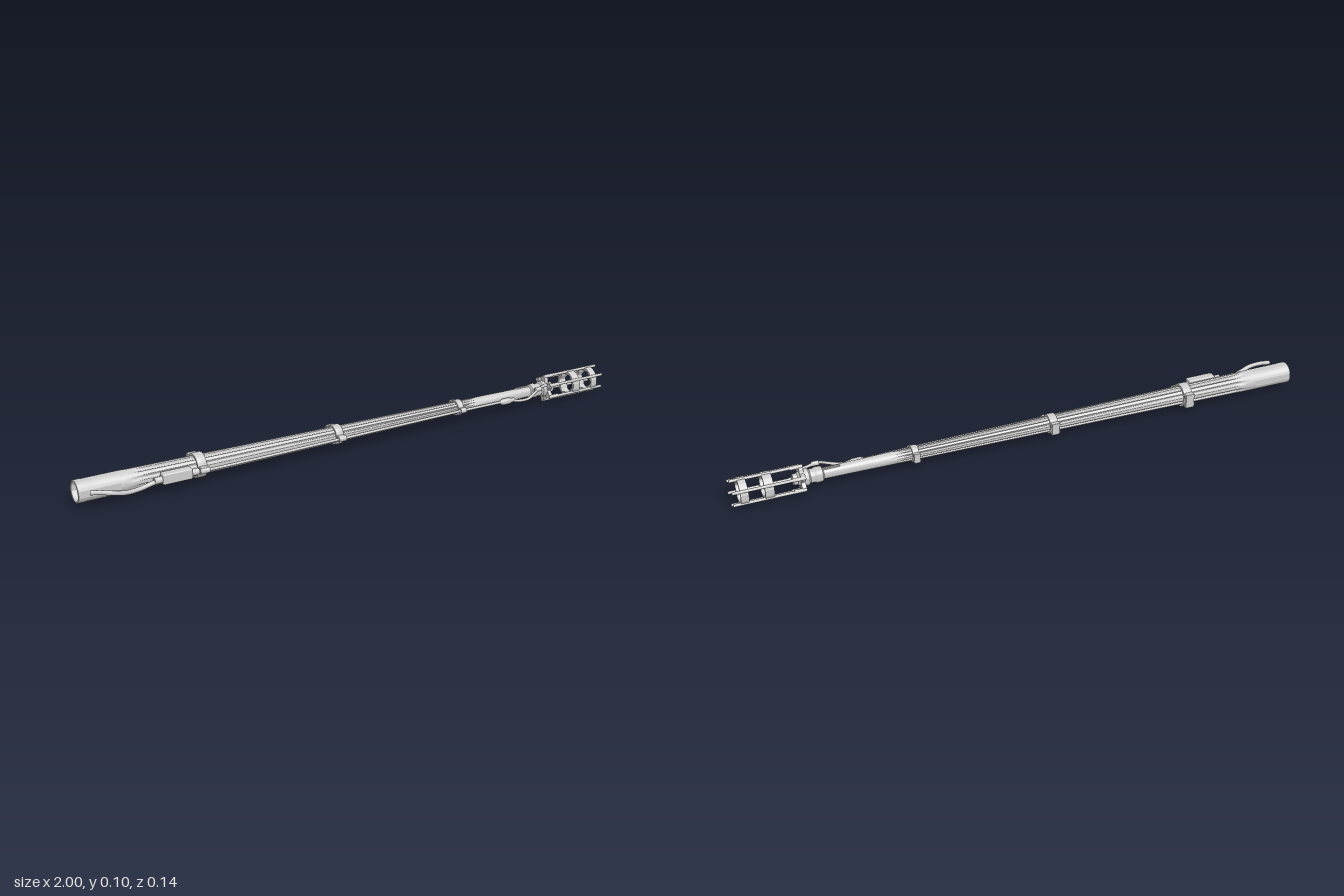
import * as THREE from 'three';
import { toCreasedNormals } from 'three/addons/utils/BufferGeometryUtils.js';
import { RoundedBoxGeometry } from 'three/addons/geometries/RoundedBoxGeometry.js';

const AY = 0.052, AZ = -0.018; // barrel axis
const mat = new THREE.MeshStandardMaterial({ color: 0xcccccc, side: THREE.DoubleSide });

function add(parent, name, geo, x = 0, y = 0, z = 0) {
  const m = new THREE.Mesh(geo, mat);
  m.name = name;
  m.position.set(x, y, z);
  parent.add(m);
  return m;
}

// Turned part along x from [x, radius] pairs
function turned(pts, segs = 32) {
  const g = new THREE.LatheGeometry(pts.map(([x, r]) => new THREE.Vector2(r, x)), segs);
  g.rotateZ(-Math.PI / 2);
  return toCreasedNormals(g, 0.6);
}

// Flat shape extruded along x, centred on x = 0
function plate(shape, depth) {
  const g = new THREE.ExtrudeGeometry(shape, { depth, bevelEnabled: false, curveSegments: 24 });
  g.translate(0, 0, -depth / 2);
  g.rotateY(Math.PI / 2);
  return toCreasedNormals(g, 0.6);
}

const rod = (r, len, n = 12) => new THREE.CylinderGeometry(r, r, len, n).rotateZ(-Math.PI / 2);

// Outline whose radius follows a rule of the angle
function polar(rule, n, Type) {
  const pts = [];
  for (let i = 0; i < n; i++) {
    const a = (i / n) * Math.PI * 2, r = rule(a);
    pts.push(new THREE.Vector2(Math.cos(a) * r, Math.sin(a) * r));
  }
  return new Type(pts);
}

const barrelRadius = x => THREE.MathUtils.lerp(0.036, 0.019, (x + 0.84) / 1.5);

// Tapered barrel with eight rounded flutes
function flutedBarrel() {
  const pts = [];
  for (let i = 0; i <= 80; i++) {
    const x = -0.86 + (i / 80) * 1.4;
    pts.push(new THREE.Vector2(barrelRadius(x), x));
  }
  const g = new THREE.LatheGeometry(pts, 128);
  const p = g.attributes.position, S = THREE.MathUtils.smoothstep;
  for (let i = 0; i < p.count; i++) {
    const x = p.getY(i), a = Math.atan2(p.getZ(i), p.getX(i));
    const ramp = S(x, -0.84, -0.76) * (1 - S(x, 0.42, 0.48));
    const groove = Math.pow(Math.max(0, -Math.cos(a * 8)), 0.6);
    const k = 1 - 0.22 * ramp * groove;
    p.setXYZ(i, p.getX(i) * k, x, p.getZ(i) * k);
  }
  g.rotateZ(-Math.PI / 2);
  g.computeVertexNormals();
  return g;
}

// Band round the barrel with a flat lug behind and a cable holder in front
function clamp(x, r, cableZ, w) {
  const c = new THREE.Group();
  c.name = 'clamp';
  c.position.x = x;
  add(c, 'clampBand', turned([[-w, r - 0.008], [-w, r - 0.001], [-w + 0.003, r],
    [w - 0.003, r], [w, r - 0.001], [w, r - 0.008], [-w, r - 0.008]], 40));
  add(c, 'clampLug', new RoundedBoxGeometry(w * 2, r * 1.25, r * 0.45, 2, 0.002), 0, 0, -r * 1.06);
  for (const s of [-1, 1]) add(c, 'clampBolt', rod(r * 0.12, w * 2.4), 0, s * r * 0.4, -r * 1.12);
  const zc = cableZ - AZ;
  add(c, 'cableArm', new RoundedBoxGeometry(w * 1.6, r * 0.5, zc - r + 0.012, 2, 0.002), 0, 0, (zc + r) / 2 - 0.003);
  add(c, 'cableEye', rod(0.0095, w * 2, 16), 0, 0, zc);
  return c;
}

// Six-rod open cage on the end of the barrel
function muzzleCage() {
  const c = new THREE.Group();
  c.name = 'muzzleCage';
  add(c, 'collar', turned([[0.7, 0.018], [0.705, 0.025], [0.725, 0.026], [0.73, 0.023],
    [0.745, 0.023], [0.75, 0.028], [0.775, 0.028], [0.785, 0.019], [0.8, 0.018], [0.8, 0.001]]));
  // Scalloped back plate with six arms
  const star = polar(a => 0.037 + 0.009 * Math.cos(6 * (a - Math.PI / 6)), 96, THREE.Shape);
  add(c, 'backPlate', plate(star, 0.014), 0.772);
  // Rings with lobed openings
  for (const [x, w] of [[0.883, 0.03], [0.962, 0.026]]) {
    const ring = polar(() => 0.046, 72, THREE.Shape);
    ring.holes.push(polar(a => 0.036 - 0.0035 * Math.cos(6 * (a - Math.PI / 6)), 72, THREE.Path));
    add(c, 'cageRing', plate(ring, w), x);
  }
  for (let i = 0; i < 6; i++) {
    const arm = new THREE.Group();
    arm.name = 'cageArm';
    arm.rotation.x = i * Math.PI / 3;
    add(arm, 'cageRod', rod(0.005, 0.235), 0.8825, 0.0445);
    add(arm, 'rodSleeve', rod(0.0065, 0.04), 0.785, 0.0435);
    add(arm, 'rodTip', rod(0.0038, 0.02), 0.99, 0.0445);
    c.add(arm);
  }
  return c;
}

const tube = (pts, r, n) => new THREE.TubeGeometry(
  new THREE.CatmullRomCurve3(pts.map(p => new THREE.Vector3(...p))), n, r, 10);

export function createModel() {
  const model = new THREE.Group();
  model.name = 'barrelAssembly';

  const axis = new THREE.Group();
  axis.name = 'barrel';
  axis.position.set(0, AY, AZ);
  model.add(axis);

  // Hollow rear socket, fluted middle, plain front
  add(axis, 'rearSocket', turned([[-0.9, 0.001], [-0.9, 0.031], [-0.998, 0.032], [-1, 0.034],
    [-0.998, 0.037], [-0.975, 0.037], [-0.97, 0.0363], [-0.86, barrelRadius(-0.86)]], 48));
  add(axis, 'flutedBarrel', flutedBarrel());
  add(axis, 'frontBarrel', turned([[0.53, barrelRadius(0.54)], [0.7, 0.0185], [0.76, 0.018]], 40));
  add(axis, 'key', new RoundedBoxGeometry(0.06, 0.006, 0.008, 2, 0.002), 0.675, 0.019, -0.004);

  axis.add(clamp(-0.59, 0.041, 0.035, 0.016));
  axis.add(clamp(-0.09, 0.034, 0.027, 0.014));
  axis.add(clamp(0.395, 0.028, 0.018, 0.011));
  axis.add(muzzleCage());

  // Cable run along the front side
  const cable = new THREE.Group();
  cable.name = 'cable';
  model.add(cable);
  add(cable, 'rearCable', tube([[-0.97, 0.066, 0.042], [-0.94, 0.064, 0.052], [-0.9, 0.056, 0.06],
    [-0.86, 0.046, 0.054], [-0.81, 0.042, 0.041], [-0.76, 0.05, 0.036], [-0.72, 0.055, 0.034]], 0.0075, 64));
  add(cable, 'cableBox', new RoundedBoxGeometry(0.1, 0.036, 0.03, 3, 0.005), -0.685, 0.056, 0.034);
  add(cable, 'boxRearNeck', rod(0.011, 0.03, 16), -0.745, 0.054, 0.035);
  add(cable, 'boxFrontNeck', rod(0.011, 0.03, 16), -0.625, 0.054, 0.034);
  add(cable, 'mainCable', tube([[-0.64, 0.054, 0.035], [-0.59, AY, 0.035], [-0.09, AY, 0.027],
    [0.395, AY, 0.018], [0.57, 0.05, 0.015]], 0.0048, 80));
  add(cable, 'connector', turned([[0.555, 0.001], [0.555, 0.006], [0.565, 0.011], [0.595, 0.011],
    [0.6, 0.008], [0.615, 0.007], [0.615, 0.001]], 16), 0, 0.049, 0.015);
  add(cable, 'frontCable', tube([[0.605, 0.048, 0.015], [0.635, 0.045, 0.026], [0.665, 0.05, 0.034],
    [0.695, 0.064, 0.029], [0.72, 0.071, 0.018], [0.745, 0.072, 0.008], [0.77, 0.072, 0.002]], 0.005, 64));
  add(cable, 'frontPlug', rod(0.008, 0.025, 14), 0.715, 0.07, 0.02);

  return model;
}
